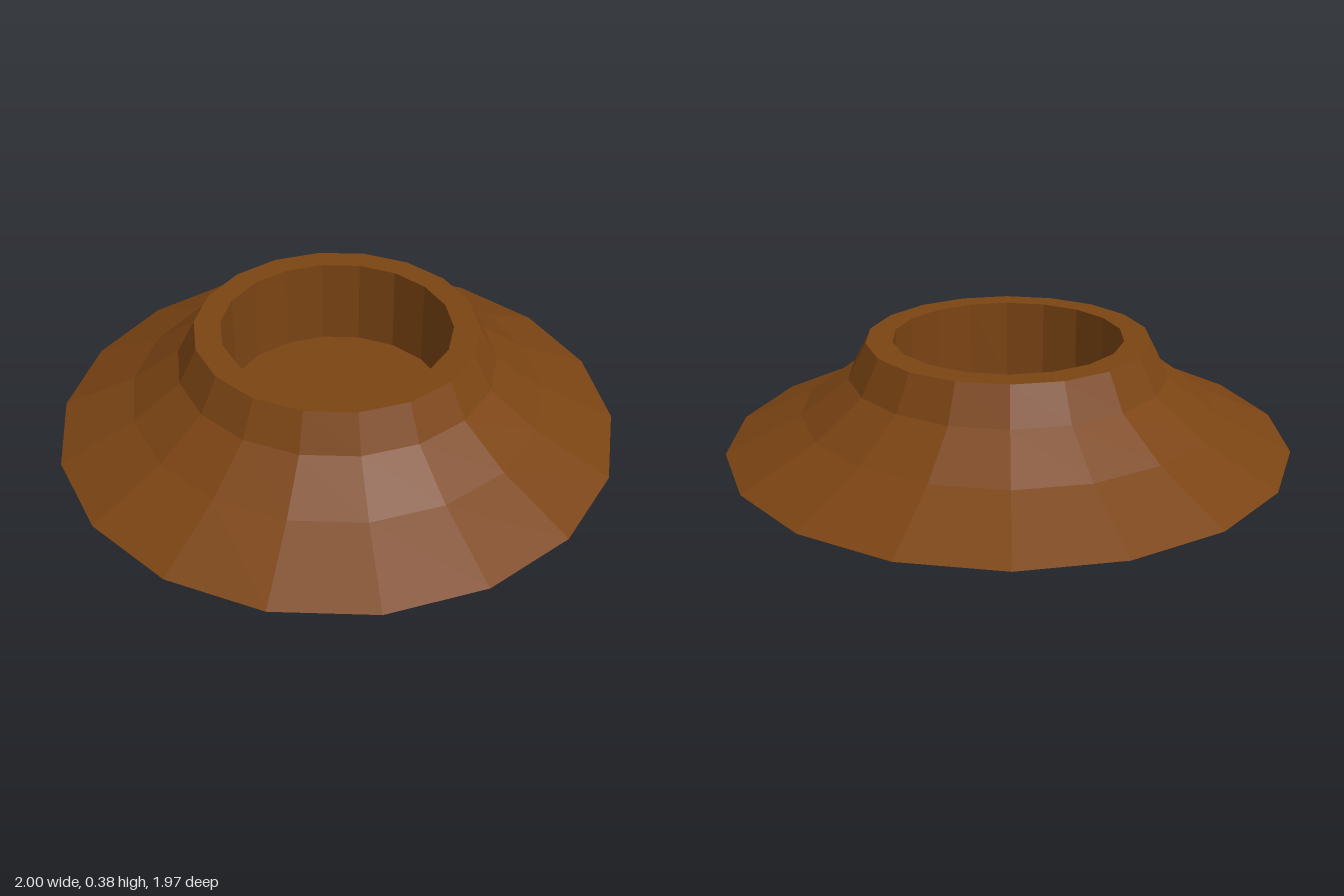
import * as THREE from 'three';

const SIDES = 18;

export function createModel() {
  const group = new THREE.Group();
  group.name = 'flaredBase';
  const material = new THREE.MeshStandardMaterial({ color: 0x7b4413, flatShading: true });

  // Each profile runs so that its faces point out of the solid.
  const addLathe = (name, profile) => {
    const points = profile.map(([r, y]) => new THREE.Vector2(r, y));
    // Start on the x axis so that corners land on x = -1 and x = 1.
    const mesh = new THREE.Mesh(new THREE.LatheGeometry(points, SIDES, Math.PI / 2), material);
    mesh.name = name;
    group.add(mesh);
  };

  // Closed underside and concave flared skirt
  addLathe('flaredSkirt', [[0, 0], [1, 0], [0.735, 0.125], [0.565, 0.25], [0.5, 0.375]]);
  // Flat ring around the opening
  addLathe('rim', [[0.5, 0.375], [0.407, 0.375]]);
  // Straight-walled recess with a flat floor
  addLathe('socket', [[0.407, 0.375], [0.407, 0.05], [0, 0.05]]);

  return group;
}
